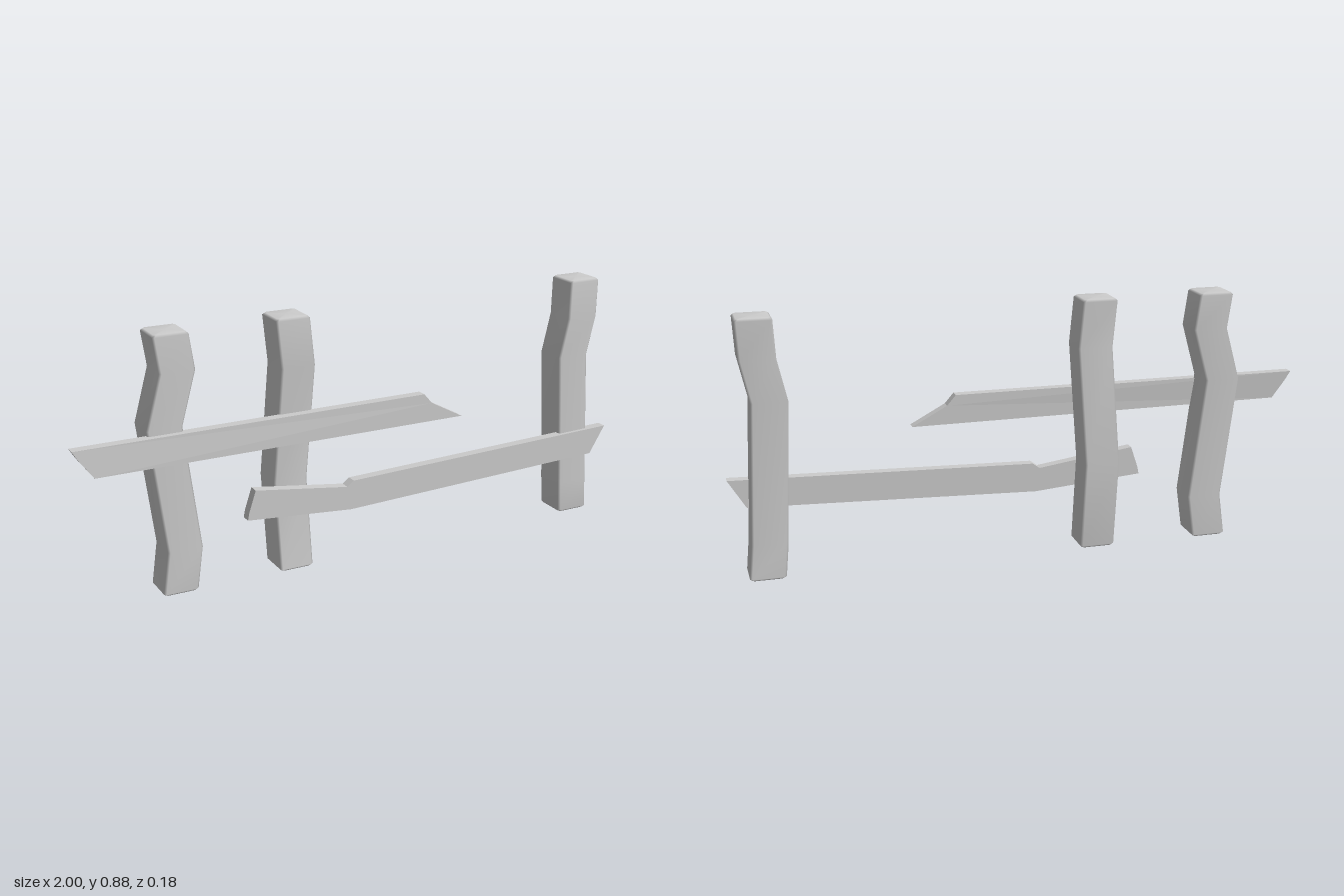
import * as THREE from 'three';

const HEIGHT = 0.875;
const HALF = 0.06;
const BEVEL = 0.007;

const smooth = new THREE.MeshStandardMaterial({ color: 0xcccccc });
const flat = new THREE.MeshStandardMaterial({ color: 0xcccccc, flatShading: true });

// Crooked square post with softened edges; bends are [y, centre x, centre z]
function makePost(name, bends) {
  const first = bends[0], last = bends[bends.length - 1];
  const rings = [
    [...first, HALF - BEVEL],
    [first[0] + BEVEL, first[1], first[2], HALF],
    ...bends.slice(1, -1).map(b => [...b, HALF]),
    [last[0] - BEVEL, last[1], last[2], HALF],
    [...last, HALF - BEVEL],
  ];
  const positions = [], index = [];
  for (const [y, x, z, h] of rings) {
    const k = h - BEVEL;
    const section = [[h, -k], [h, k], [k, h], [-k, h], [-h, k], [-h, -k], [-k, -h], [k, -h]];
    for (const [dx, dz] of section) positions.push(x + dx, y, z + dz);
  }
  const top = (rings.length - 1) * 8;
  const bottomCentre = rings.length * 8, topCentre = bottomCentre + 1;
  positions.push(first[1], first[0], first[2], last[1], last[0], last[2]);
  for (let j = 0; j < 8; j++) {
    const n = (j + 1) % 8;
    for (let r = 0; r < top; r += 8) {
      index.push(r + j, r + 8 + j, r + n, r + n, r + 8 + j, r + 8 + n);
    }
    index.push(bottomCentre, j, n, topCentre, top + n, top + j);
  }
  const geometry = new THREE.BufferGeometry();
  geometry.setAttribute('position', new THREE.Float32BufferAttribute(positions, 3));
  geometry.setIndex(index);
  geometry.computeVertexNormals();
  const mesh = new THREE.Mesh(geometry, smooth);
  mesh.name = name;
  return mesh;
}

// Broken plank cut from its front outline
function makeRail(name, outline, z, depth) {
  const shape = new THREE.Shape(outline.map(([x, y]) => new THREE.Vector2(x, y)));
  const geometry = new THREE.ExtrudeGeometry(shape, { depth, bevelEnabled: false });
  geometry.translate(0, 0, z);
  const mesh = new THREE.Mesh(geometry, flat);
  mesh.name = name;
  return mesh;
}

export function createModel() {
  const fence = new THREE.Group();
  fence.name = 'brokenFence';

  // Posts
  fence.add(
    makePost('rightPost', [
      [0, -0.66, 0], [0.15, -0.64, 0], [0.57, -0.693, 0], [0.75, -0.643, 0], [HEIGHT, -0.66, 0],
    ]),
    makePost('middlePost', [
      [0, -0.245, 0], [0.31, -0.25, -0.03], [0.71, -0.231, 0.004], [HEIGHT, -0.245, 0],
    ]),
    makePost('leftPost', [
      [0, 0.89, 0], [0.12, 0.878, 0.008], [0.6, 0.857, 0.004], [0.74, 0.888, 0.006], [HEIGHT, 0.895, 0],
    ]),
  );

  // Rails
  const upper = makeRail('upperRail', [
    [-1, 0.555], [-0.98, 0.522], [-0.935, 0.46], [0.38, 0.455], [0.26, 0.52], [0.23, 0.555],
  ], 0.045, 0.035);
  // Slight twist that pushes the lower edge forward towards the far end
  const p = upper.geometry.attributes.position;
  for (let i = 0; i < p.count; i++) {
    const twist = THREE.MathUtils.clamp((0.3 - p.getX(i)) / 1.25, 0, 1);
    p.setZ(i, p.getZ(i) + twist * (0.004 + (0.51 - p.getY(i)) * 0.06));
  }
  upper.geometry.computeVertexNormals();

  const lower = makeRail('lowerRail', [
    [-0.4, 0.32], [-0.425, 0.245], [-0.43, 0.22], [-0.05, 0.188],
    [0.94, 0.222], [1, 0.32], [-0.04, 0.29], [-0.065, 0.272],
  ], 0.045, 0.035);

  fence.add(upper, lower);
  return fence;
}
